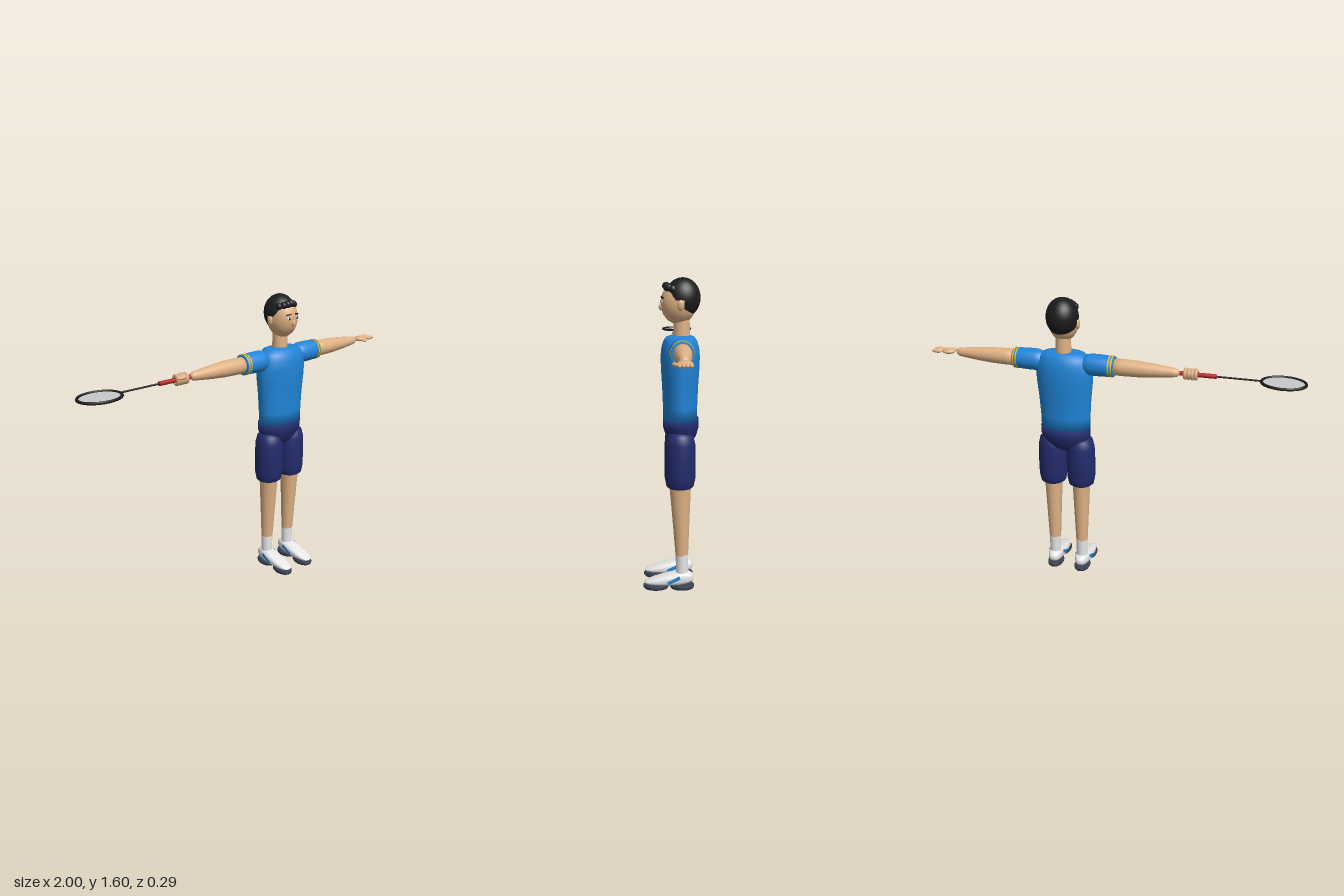
import * as THREE from 'three';

const mat = (name, color, extra = {}) => {
  const m = new THREE.MeshStandardMaterial({ color, ...extra });
  m.name = name;
  return m;
};
const skin = mat('skin', 0xdeb184);
const blue = mat('shirtBlue', 0x2085d8);
const navy = mat('shortsNavy', 0x222b6b);
const black = mat('black', 0x1c1c1c, { side: THREE.DoubleSide });
const white = mat('white', 0xf0f0f0);
const yellow = mat('trimYellow', 0xf2c224);
const red = mat('gripRed', 0xb52222);
const grey = mat('stringGrey', 0xc8c8c8, { side: THREE.DoubleSide });
const dark = mat('soleDark', 0x3a4152);
const brown = mat('lipBrown', 0x9a6548);

const CZ = -0.047; // depth of the body's centre line
const AY = 1.257; // arm height

function add(parent, name, geometry, material, x = 0, y = 0, z = 0) {
  const m = new THREE.Mesh(geometry, material);
  m.name = name;
  m.position.set(x, y, z);
  parent.add(m);
  return m;
}
const ball = (parent, name, material, x, y, z, rx, ry, rz) =>
  add(parent, name, new THREE.SphereGeometry(1, 24, 16).scale(rx, ry, rz), material, x, y, z);
const lathe = (pts) => new THREE.LatheGeometry(pts.map((p) => new THREE.Vector2(p[0], p[1])), 36);

// Head ellipsoid and the depth of its front surface
const HEAD = { y: 1.476, z: -0.034, rx: 0.079, ry: 0.106, rz: 0.089 };
const faceZ = (x, y) => HEAD.z + HEAD.rz *
  Math.sqrt(Math.max(0, 1 - (x / HEAD.rx) ** 2 - ((y - HEAD.y) / HEAD.ry) ** 2));

function buildHead() {
  const g = new THREE.Group();
  g.name = 'head';
  ball(g, 'skull', skin, 0, HEAD.y, HEAD.z, HEAD.rx, HEAD.ry, HEAD.rz);
  add(g, 'neck', new THREE.CylinderGeometry(0.039, 0.043, 0.12, 28), skin, 0, 1.35, -0.05);
  ball(g, 'nose', skin, 0, 1.456, faceZ(0, 1.456), 0.011, 0.018, 0.011);
  add(g, 'mouth', new THREE.BoxGeometry(0.034, 0.005, 0.006), brown, 0, 1.42, faceZ(0.014, 1.42));

  // Hair: crown, back of the head and a curled fringe
  const crown = new THREE.SphereGeometry(1, 36, 14, 0, Math.PI * 2, 0, Math.PI * 0.53);
  const back = new THREE.SphereGeometry(1, 24, 20, Math.PI * 1.03, Math.PI * 0.94, 0, Math.PI * 0.87);
  for (const [name, geo] of [['hairCrown', crown], ['hairBack', back]])
    add(g, name, geo.scale(0.084, 0.1, 0.089), black, 0, 1.5, -0.054);
  for (let i = -3; i <= 3; i++)
    ball(g, 'fringeCurl', black, i * 0.018, 1.558 - Math.abs(i) * 0.005, 0.027 - i * i * 0.0035, 0.017, 0.02, 0.02);

  for (const s of [-1, 1]) {
    ball(g, 'ear', skin, s * 0.079, 1.467, -0.044, 0.012, 0.027, 0.018);
    const ex = s * 0.028, ey = 1.483;
    ball(g, 'eyeWhite', white, ex, ey, faceZ(ex, ey), 0.013, 0.008, 0.004);
    ball(g, 'pupil', black, ex, ey, faceZ(ex, ey) + 0.002, 0.0065, 0.0075, 0.004);
    const brow = add(g, 'eyebrow', new THREE.BoxGeometry(0.03, 0.007, 0.007), black, ex, 1.503, faceZ(ex, 1.503));
    brow.rotation.set(-0.2, s * 0.35, -s * 0.1);
  }
  return g;
}

function buildTorso() {
  const g = new THREE.Group();
  g.name = 'torso';
  const shirt = lathe([[0, 0.888], [0.137, 0.888], [0.138, 0.96], [0.144, 1.06], [0.153, 1.15], [0.156, 1.21],
    [0.149, 1.255], [0.134, 1.288], [0.112, 1.308], [0.08, 1.315], [0, 1.316]]);
  add(g, 'shirt', shirt.scale(1, 1, 0.635), blue, 0, 0, CZ + 0.004);
  const hips = lathe([[0, 0.752], [0.045, 0.757], [0.085, 0.775], [0.118, 0.805], [0.138, 0.85], [0.139, 0.893], [0, 0.893]]);
  add(g, 'shortsHips', hips.scale(1, 1, 0.66), navy, 0, 0, CZ);
  return g;
}

// Sleeve and arm are turned around the arm's own axis, then laid sideways
function buildArm(s) {
  const g = new THREE.Group();
  g.name = s > 0 ? 'leftArm' : 'rightArm';
  g.position.set(0, AY, CZ);
  g.rotation.z = -s * Math.PI / 2;
  add(g, 'sleeve', lathe([[0, 0.1], [0.035, 0.105], [0.05, 0.12], [0.057, 0.15], [0.057, 0.2], [0.054, 0.272],
    [0.05, 0.278], [0, 0.278]]), blue);
  for (const y of [0.253, 0.268])
    add(g, 'sleeveStripe', new THREE.CylinderGeometry(0.056, 0.0565, 0.008, 36), yellow, 0, y, 0);
  add(g, 'forearm', lathe([[0, 0.25], [0.043, 0.26], [0.044, 0.32], [0.042, 0.4], [0.035, 0.49], [0.025, 0.58],
    [0.021, 0.602], [0.012, 0.613], [0, 0.616]]), skin);
  return g;
}

function shoeGeometry() {
  const geo = new THREE.SphereGeometry(1, 32, 24);
  const p = geo.attributes.position;
  const soft = (v, e) => Math.sign(v) * Math.abs(v) ** e;
  for (let i = 0; i < p.count; i++) {
    const z = 0.014 + 0.129 * soft(p.getZ(i), 0.85);
    const t = THREE.MathUtils.clamp((z + 0.06) / 0.2, 0, 1);
    const height = THREE.MathUtils.lerp(0.082, 0.028, t);
    p.setXYZ(i, 0.045 * soft(p.getX(i), 0.75), 0.02 + height * (0.5 + 0.5 * soft(p.getY(i), 0.75)), z);
  }
  geo.computeVertexNormals();
  return geo;
}

function buildLeg(s) {
  const g = new THREE.Group();
  g.name = s > 0 ? 'leftLeg' : 'rightLeg';
  g.position.x = s * 0.082;
  add(g, 'shortsLeg', lathe([[0, 0.55], [0.06, 0.55], [0.07, 0.558], [0.078, 0.6], [0.079, 0.7], [0.076, 0.78],
    [0.066, 0.82], [0.045, 0.84], [0, 0.846]]), navy, 0, 0, -0.042);
  const calf = new THREE.CylinderGeometry(0.05, 0.033, 0.4, 32, 4, true);
  const p = calf.attributes.position;
  for (let i = 0; i < p.count; i++) { // deeper and further forward towards the knee
    const t = p.getY(i) / 0.4 + 0.5;
    p.setZ(i, p.getZ(i) * (1 + 0.14 * t) - 0.052 + 0.01 * t);
  }
  calf.computeVertexNormals();
  add(g, 'calf', calf, skin, 0, 0.385, 0);
  add(g, 'sock', new THREE.CylinderGeometry(0.033, 0.031, 0.12, 28), white, 0, 0.13, -0.053);
  add(g, 'shoe', shoeGeometry(), white);
  for (const [z, rz] of [[0.083, 0.066], [-0.054, 0.063]])
    add(g, 'sole', lathe([[0, 0], [0.9, 0], [1, 0.008], [1, 0.018], [0.9, 0.027], [0, 0.027]]).scale(0.045, 1, rz), dark, 0, 0, z);
  for (const side of [-1, 1]) {
    const stripe = add(g, 'shoeStripe', new THREE.BoxGeometry(0.0095, 0.017, 0.07), blue, side * 0.0415, 0.056, -0.01);
    stripe.rotation.x = 0.45;
  }
  return g;
}

function buildOpenHand() {
  const g = new THREE.Group();
  g.name = 'leftHand';
  g.position.set(0.665, AY, CZ);
  ball(g, 'palm', skin, 0, 0, 0, 0.038, 0.015, 0.035);
  for (let i = 0; i < 4; i++)
    ball(g, 'finger', skin, 0.062, 0, -0.024 + i * 0.016, 0.03, 0.01, 0.0105);
  const thumb = ball(g, 'thumb', skin, -0.005, -0.004, 0.042, 0.029, 0.009, 0.01);
  thumb.rotation.y = 0.35;
  return g;
}

function buildFistAndRacket() {
  const g = new THREE.Group();
  g.name = 'rightHandAndRacket';
  g.position.set(-0.243, AY, CZ);
  const rod = (name, r, x0, x1, material) => {
    const m = add(g, name, new THREE.CylinderGeometry(r, r, x1 - x0, 16), material, (x0 + x1) / 2, 0, 0);
    m.rotation.z = Math.PI / 2;
  };
  // Fist closed around the grip
  ball(g, 'palm', skin, -0.183, 0, 0, 0.041, 0.025, 0.028);
  for (let i = 0; i < 4; i++) {
    const f = add(g, 'finger', new THREE.TorusGeometry(0.021, 0.0095, 10, 24), skin, -0.213 + i * 0.018, 0, 0);
    f.rotation.y = Math.PI / 2;
  }
  ball(g, 'thumb', skin, -0.195, 0.012, 0.026, 0.026, 0.01, 0.01);
  // Racket
  rod('racketGrip', 0.0115, -0.316, -0.13, red);
  rod('racketShaft', 0.0045, -0.53, -0.31, black);
  const cx = -0.642, rx = 0.107, rz = 0.087;
  const rim = new THREE.EllipseCurve(0, 0, rx, rz).getPoints(48).slice(0, -1).map((p) => new THREE.Vector3(p.x, 0, p.y));
  add(g, 'racketFrame', new THREE.TubeGeometry(new THREE.CatmullRomCurve3(rim, true), 72, 0.0075, 8, true), black, cx, 0, 0);
  add(g, 'racketStrings', new THREE.CircleGeometry(1, 48).rotateX(-Math.PI / 2).scale(rx, 1, rz), grey, cx, 0, 0);
  return g;
}

export function createModel() {
  const model = new THREE.Group();
  model.name = 'racketPlayer';
  const body = new THREE.Group();
  body.name = 'body';
  body.position.x = 0.243;
  body.add(buildHead(), buildTorso(), buildOpenHand());
  for (const s of [-1, 1]) body.add(buildArm(s), buildLeg(s));
  const racket = buildFistAndRacket();
  racket.position.x = -0.243;
  model.add(body, racket);
  return model;
}
